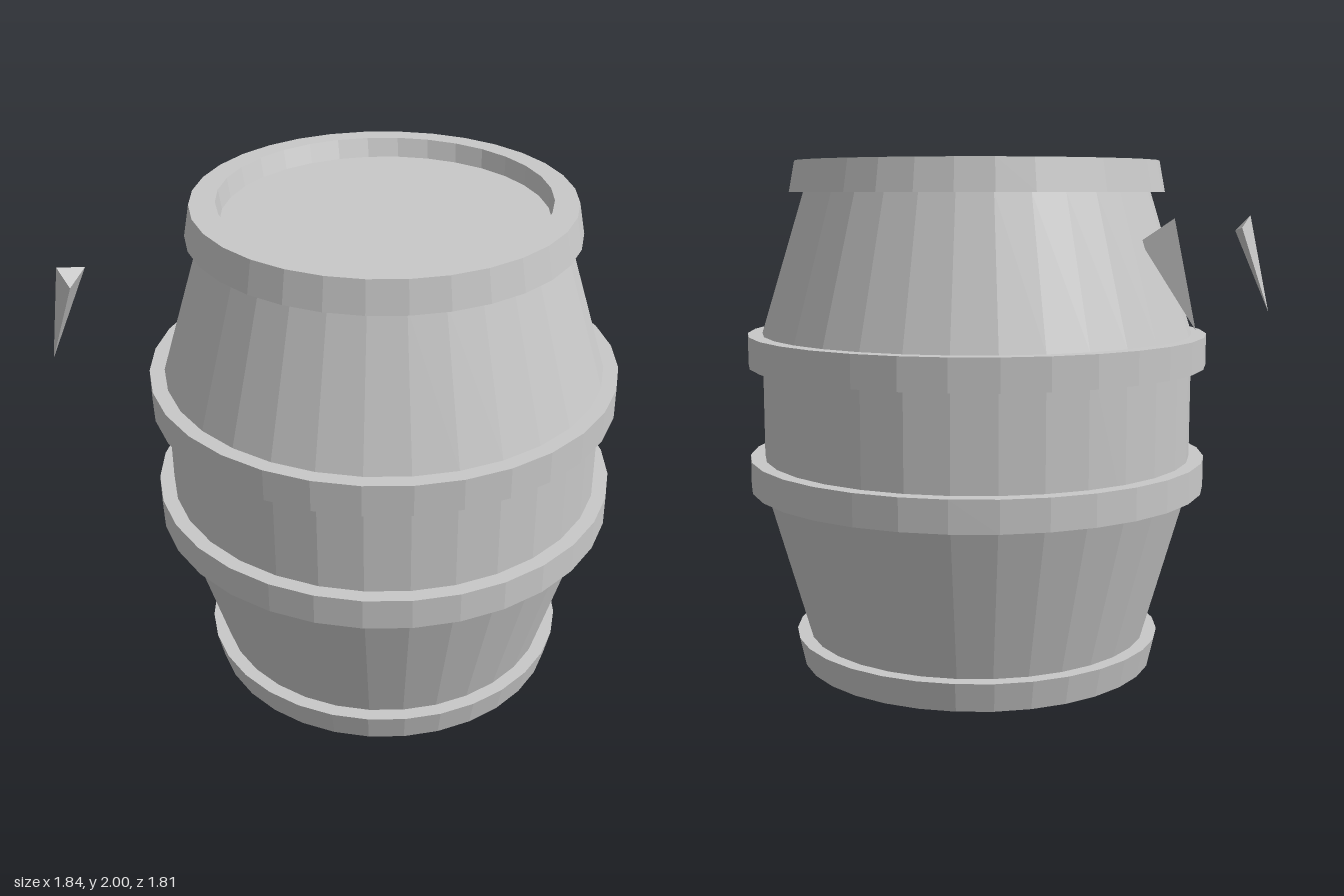
import * as THREE from 'three';
import { ConvexGeometry } from 'three/addons/geometries/ConvexGeometry.js';

const SIDES = 32;
const CENTRE_X = 0.01;

export function createModel() {
  const group = new THREE.Group();
  const grey = new THREE.MeshStandardMaterial({ color: 0xc8c8c8 });
  grey.name = 'grey';

  const add = (name, geometry) => {
    const mesh = new THREE.Mesh(geometry, grey);
    mesh.name = name;
    group.add(mesh);
    return mesh;
  };

  // Faceted turned part; profile runs counter-clockwise as [radius, height].
  // An optional rule moves the vertices before the facets are split.
  const turned = (name, profile, rule) => {
    const lathe = new THREE.LatheGeometry(profile.map(([r, y]) => new THREE.Vector2(r, y)), SIDES);
    if (rule) {
      const p = lathe.attributes.position;
      for (let i = 0; i < p.count; i++) {
        const [dx, dz] = rule(Math.hypot(p.getX(i), p.getZ(i)), p.getY(i));
        p.setXYZ(i, p.getX(i) + dx, p.getY(i), p.getZ(i) + dz);
      }
    }
    const flat = lathe.toNonIndexed();
    flat.computeVertexNormals();
    add(name, flat).position.x = CENTRE_X;
  };

  // Bulging body
  turned('body', [[0.675, 0.1], [0.68, 0.12], [0.85, 0.72], [0.85, 1.33], [0.68, 1.88], [0.675, 1.9]]);

  // Two straight hoops around the belly
  [['lowerHoop', 0.72], ['upperHoop', 1.208]].forEach(([name, y]) =>
    turned(name, [[0.84, y], [0.907, y], [0.907, y + 0.123], [0.84, y + 0.123]]));

  // Flared bottom rim with a closed base
  turned('bottomRim', [[0, 0], [0.58, 0.004], [0.71, 0.008], [0.735, 0.122], [0.66, 0.122]]);

  // Flared top rim and the slightly off-centre sunken lid
  const offCentre = (r, y) => {
    if (r > 0.65) return [0, 0];
    return y > 1.97 ? [-0.008, -0.014] : [0.005, -0.003];
  };
  turned('topRim', [[0.66, 1.88], [0.735, 1.88], [0.712, 2], [0.62, 2]], offCentre);
  turned('lid', [[0.62, 2], [0.61, 1.93], [0, 1.93]], offCentre);

  // Loose splinters beside the barrel
  const splinter = (name, z, back) => add(name, new ConvexGeometry([
    new THREE.Vector3(-0.83, 1.785, z),
    new THREE.Vector3(-0.765, 1.72, z),
    new THREE.Vector3(-0.92, 1.38, z),
    new THREE.Vector3(...back),
  ]));
  splinter('frontSplinter', 0.863, [-0.84, 1.735, 0.725]);
  splinter('sideSplinter', -0.033, [-0.71, 1.7, -0.065]);

  return group;
}
